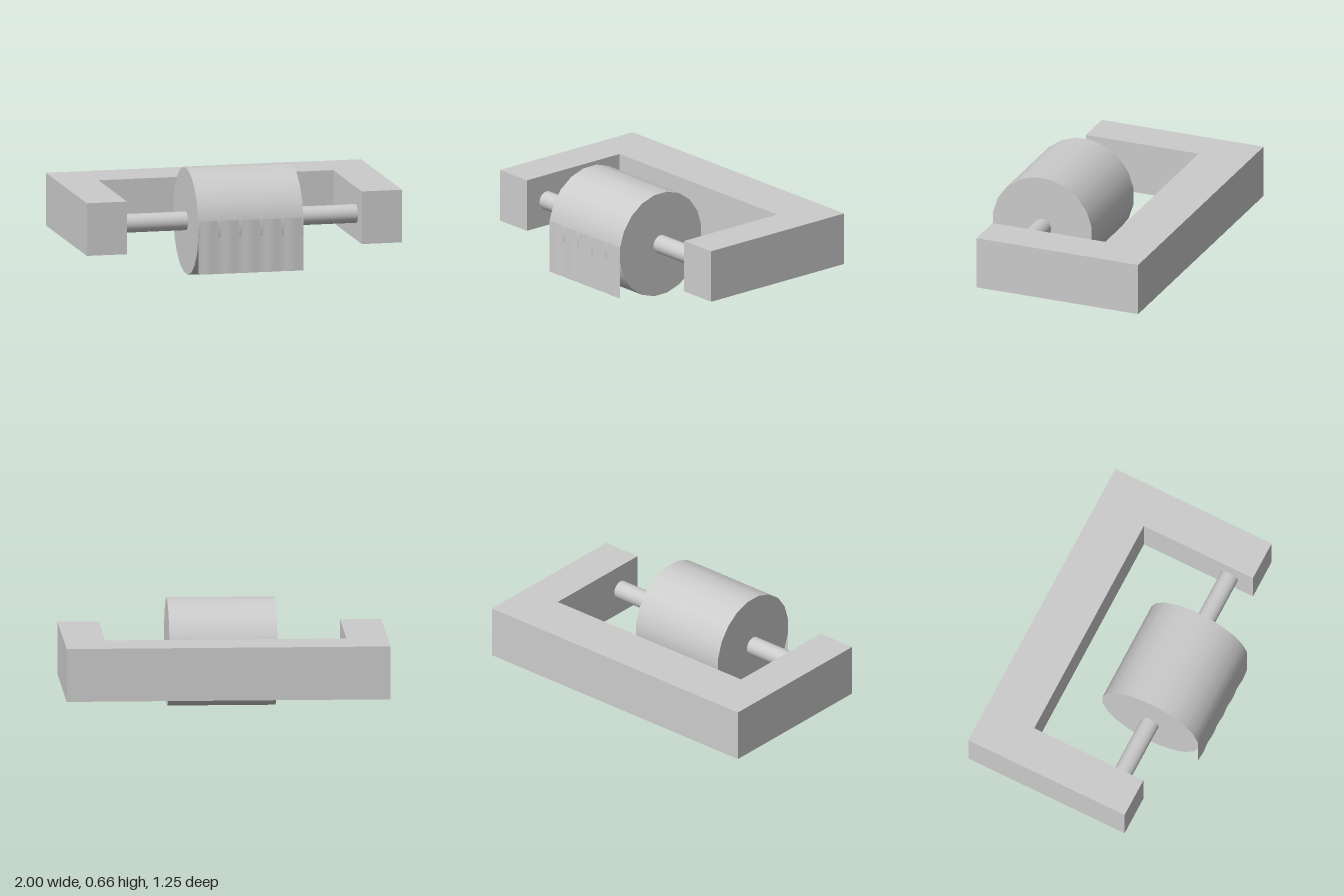
import * as THREE from 'three';

const material = new THREE.MeshStandardMaterial({ color: 0xcccccc });
const sheetMaterial = new THREE.MeshStandardMaterial({ color: 0xcccccc, side: THREE.DoubleSide });

const AXIS_Y = 0.33;
const AXIS_Z = 0.293;

function addMesh(group, name, geometry, mat = material) {
  const mesh = new THREE.Mesh(geometry, mat);
  mesh.name = name;
  group.add(mesh);
  return mesh;
}

// Cylinder lying along x on the roll axis, with flats facing up and forward
function axleCylinder(radius, length, sides) {
  return new THREE.CylinderGeometry(radius, radius, length, sides, 1, false, Math.PI / sides)
    .rotateZ(Math.PI / 2)
    .translate(0, AXIS_Y, AXIS_Z);
}

export function createModel() {
  const model = new THREE.Group();
  model.name = 'rollHolder';

  // U-shaped bracket, drawn in plan (shape y is -z) and extruded upward
  const plan = new THREE.Shape([
    [-1, 0.627], [-1, -0.455], [-0.745, -0.455], [-0.745, 0.3],
    [0.745, 0.3], [0.745, -0.455], [1, -0.455], [1, 0.627],
  ].map(([x, y]) => new THREE.Vector2(x, y)));
  const bracket = new THREE.ExtrudeGeometry(plan, { depth: 0.33, bevelEnabled: false });
  bracket.rotateX(-Math.PI / 2).translate(0, 0.166, 0);
  addMesh(model, 'bracket', bracket);

  // Rod between the arms, and the roll on it
  addMesh(model, 'rod', axleCylinder(0.058, 1.49, 20));
  addMesh(model, 'paperRoll', axleCylinder(0.334, 0.667, 20));

  // Loose end of the paper hanging down the front, with a slight ripple
  const sheet = new THREE.PlaneGeometry(0.667, 0.332, 40, 4);
  const pos = sheet.attributes.position;
  for (let i = 0; i < pos.count; i++) {
    pos.setZ(i, 0.0022 * Math.cos((pos.getX(i) / 0.667) * 10 * Math.PI));
  }
  sheet.computeVertexNormals();
  sheet.translate(0, 0.215, 0.6247);
  addMesh(model, 'looseSheet', sheet, sheetMaterial);

  return model;
}
